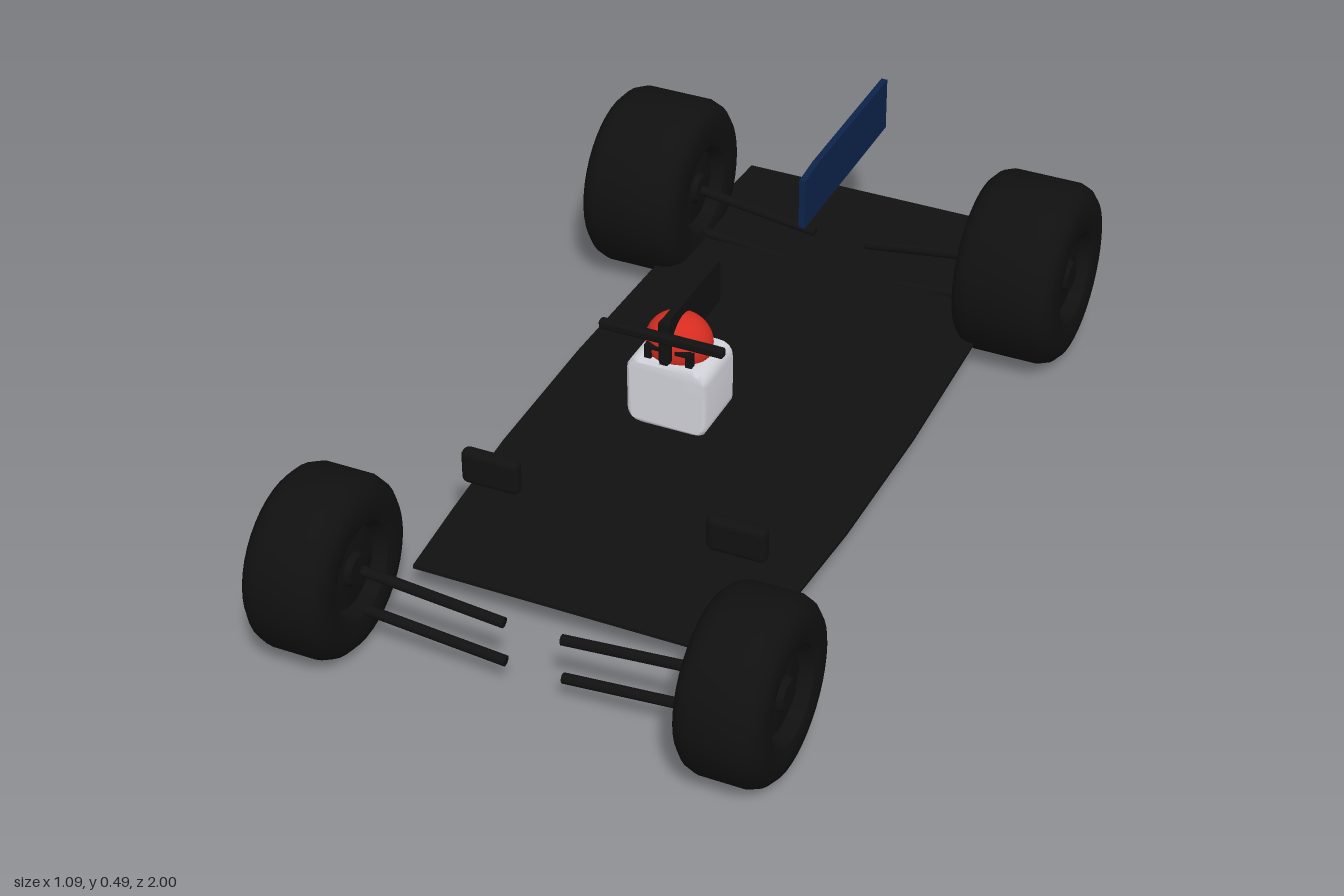
import * as THREE from 'three';
import { mergeVertices, toCreasedNormals } from 'three/addons/utils/BufferGeometryUtils.js';
import { RoundedBoxGeometry } from 'three/addons/geometries/RoundedBoxGeometry.js';

function mat(name, color) {
  const m = new THREE.MeshStandardMaterial({ color });
  m.name = name;
  return m;
}

export function createModel() {
  const car = new THREE.Group();
  car.name = 'openWheelCar';
  const black = mat('carbonBlack', 0x111111);
  const rubber = mat('tyreBlack', 0x101010);
  const blue = mat('navyBlue', 0x0c2349);
  const red = mat('helmetRed', 0xd62c20);
  const white = mat('suitWhite', 0xd2d2da);

  function add(name, geometry, material, x = 0, y = 0, z = 0) {
    const mesh = new THREE.Mesh(geometry, material);
    mesh.name = name;
    mesh.position.set(x, y, z);
    car.add(mesh);
    return mesh;
  }

  // Floor: thin plate, widest in the middle
  const half = [[0.35, 0.645], [0.365, 0.45], [0.38, 0.2], [0.384, -0.15], [0.375, -0.5], [0.36, -0.85], [0.352, -1]];
  const outline = [...half, ...half.map(([x, z]) => [-x, z]).reverse()];
  const floorShape = new THREE.Shape(outline.map(([x, z]) => new THREE.Vector2(x, -z)));
  const floorGeo = new THREE.ExtrudeGeometry(floorShape, { depth: 0.008, bevelEnabled: false });
  floorGeo.rotateX(-Math.PI / 2);
  add('floor', floorGeo, black, 0, 0.075, 0);

  // Wheels: one lathe profile with rounded shoulders, dished rim and hub
  function wheelGeometry(r, w) {
    const h = w / 2;
    const side = [
      [0, h - 0.012], [0.03, h - 0.012], [0.036, h - 0.025], [0.085, h - 0.03], [0.1, h - 0.004],
      [0.112, h], [r - 0.045, h], [r - 0.024, h - 0.005], [r - 0.008, h - 0.02], [r, h - 0.042],
    ];
    const profile = [...side.map(([x, y]) => [x, -y]), ...[...side].reverse()];
    const geo = new THREE.LatheGeometry(profile.map(([x, y]) => new THREE.Vector2(x, y)), 40);
    geo.rotateZ(-Math.PI / 2);
    return toCreasedNormals(geo, 0.6);
  }

  // Suspension arm: straight rod between two points
  function arm(name, a, b) {
    const from = new THREE.Vector3(...a), to = new THREE.Vector3(...b);
    const dir = to.clone().sub(from);
    const rod = add(name, new THREE.CylinderGeometry(0.011, 0.011, dir.length(), 10), black);
    rod.position.copy(from).add(to).multiplyScalar(0.5);
    rod.quaternion.setFromUnitVectors(new THREE.Vector3(0, 1, 0), dir.normalize());
  }

  const axles = [
    { name: 'front', r: 0.184, w: 0.176, x: 0.443, z: 0.816, armZ: 0.814 },
    { name: 'rear', r: 0.199, w: 0.225, x: 0.4335, z: -0.681, armZ: -0.681 },
  ];
  for (const axle of axles) {
    const geo = wheelGeometry(axle.r, axle.w);
    for (const s of [1, -1]) {
      const side = s > 0 ? 'Left' : 'Right';
      const y = axle.r + 0.003;
      add(axle.name + 'Wheel' + side, geo, rubber, s * axle.x, y, axle.z);
      arm(axle.name + 'UpperArm' + side, [s * 0.06, 0.16, axle.armZ], [s * 0.36, y, axle.armZ]);
      arm(axle.name + 'LowerArm' + side, [s * 0.06, 0.068, axle.armZ], [s * 0.36, 0.094, axle.armZ]);
    }
  }

  // Mirrors
  for (const s of [1, -1]) {
    add(s > 0 ? 'mirrorLeft' : 'mirrorRight', new RoundedBoxGeometry(0.125, 0.078, 0.032, 3, 0.014),
      black, s * 0.263, 0.22, 0.469);
  }

  // Driver torso: rounded block with softly blended normals
  const a = 0.08, b = 0.07, c = 0.025;
  const body = new THREE.Shape();
  body.moveTo(-a + c, -b);
  body.lineTo(a - c, -b);
  body.quadraticCurveTo(a, -b, a, -b + c);
  body.lineTo(a, b - c);
  body.quadraticCurveTo(a, b, a - c, b);
  body.lineTo(-a + c, b);
  body.quadraticCurveTo(-a, b, -a, b - c);
  body.lineTo(-a, -b + c);
  body.quadraticCurveTo(-a, -b, -a + c, -b);
  let torso = new THREE.ExtrudeGeometry(body, {
    depth: 0.122, bevelSize: 0.007, bevelThickness: 0.007, bevelSegments: 1, curveSegments: 4,
  });
  torso.deleteAttribute('normal');
  torso.deleteAttribute('uv');
  torso.clearGroups();
  torso = mergeVertices(torso, 1e-4);
  torso.computeVertexNormals();
  add('driverTorso', torso, white, 0, 0.312, 0.097);

  // Helmet with a dark frame at each side of the visor
  const helmet = add('helmet', new THREE.SphereGeometry(1, 32, 20), red, 0, 0.41, 0.16);
  helmet.scale.set(0.069, 0.062, 0.06);
  for (const s of [1, -1]) {
    add('visorPost', new THREE.BoxGeometry(0.014, 0.034, 0.014), black, s * 0.044, 0.402, 0.208);
    add('visorBar', new THREE.BoxGeometry(0.03, 0.008, 0.014), black, s * 0.032, 0.418, 0.212);
  }

  // Upright camera fin above the helmet with its cross bar
  add('cameraFin', new THREE.BoxGeometry(0.016, 0.098, 0.255), black, 0, 0.446, 0.108);
  add('finNose', new RoundedBoxGeometry(0.024, 0.098, 0.02, 2, 0.006), black, 0, 0.446, 0.226);
  add('cameraBar', new RoundedBoxGeometry(0.266, 0.02, 0.02, 2, 0.006), black, 0, 0.465, 0.241);

  // Engine cover fin
  const fin = new THREE.Shape([[0.457, 0.315], [0.92, 0.315], [0.92, 0.436], [0.53, 0.438], [0.457, 0.431]]
    .map(([z, y]) => new THREE.Vector2(z, y)));
  const finGeo = new THREE.ExtrudeGeometry(fin, { depth: 0.014, bevelEnabled: false });
  finGeo.rotateY(Math.PI / 2);
  add('engineCoverFin', finGeo, blue, -0.007, 0, 0);

  return car;
}
